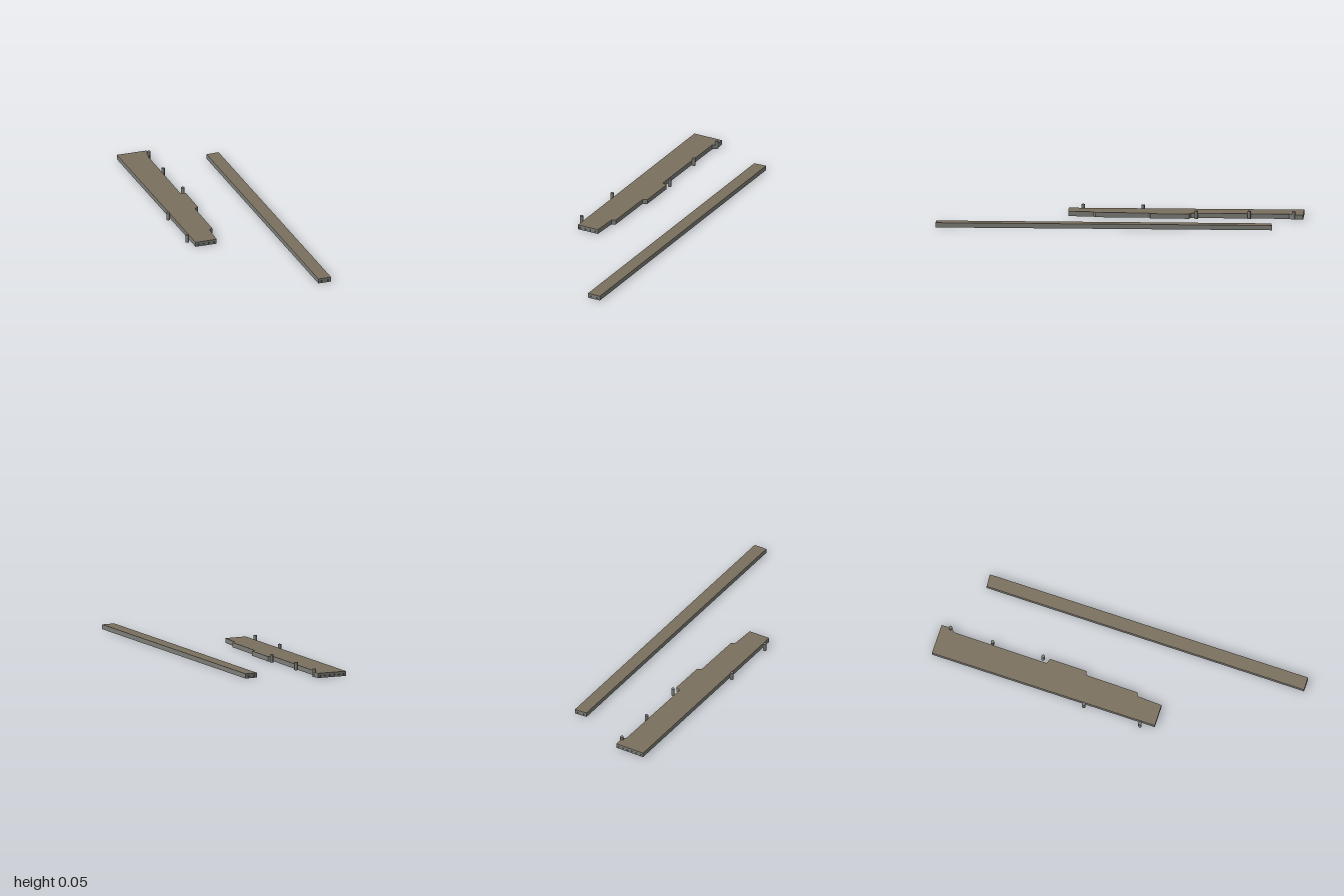
import * as THREE from 'three';

const deckBrown = new THREE.MeshStandardMaterial({ color: 0x7b705e });
const wallGrey = new THREE.MeshStandardMaterial({ color: 0x7c7c78 });
const openingDark = new THREE.MeshStandardMaterial({ color: 0x3c3c3a });
deckBrown.name = 'deckBrown';
wallGrey.name = 'wallGrey';
openingDark.name = 'openingDark';

const HEIGHT = 0.03, SLAB = 0.005, WALL = 0.006;

// Outlines as [x, z], clockwise seen from above
const wideOutline = [
  [-0.71, -0.925], [-0.53, -1], [-0.502, -0.94], [-0.515, -0.91], [-0.29, -0.337], [-0.255, -0.34],
  [-0.167, -0.116], [-0.187, -0.095], [-0.065, 0.217], [-0.082, 0.238], [-0.03, 0.388], [-0.16, 0.444],
];
const narrowOutline = [[-0.15, -0.957], [-0.077, -0.994], [0.71, 0.96], [0.632, 0.993]];

// Post positions as [x, z]
const posts = [[-0.51, -0.943], [-0.411, -0.682], [-0.275, -0.38], [-0.348, 0.02], [-0.215, 0.37]];

// Hollow platform: thin deck on perimeter walls, open underneath
function platform(name, outline, endEdges) {
  const group = new THREE.Group();
  group.name = name;
  const shape = new THREE.Shape(outline.map(([x, z]) => new THREE.Vector2(x, -z)));
  const deckGeometry = new THREE.ExtrudeGeometry(shape, { depth: SLAB, bevelEnabled: false });
  deckGeometry.rotateX(-Math.PI / 2).translate(0, HEIGHT - SLAB, 0);
  const deck = new THREE.Mesh(deckGeometry, [deckBrown, wallGrey]);
  deck.name = 'deck';
  group.add(deck);

  outline.forEach(([x0, z0], i) => {
    const [x1, z1] = outline[(i + 1) % outline.length];
    const length = Math.hypot(x1 - x0, z1 - z0);
    const side = new THREE.Group();
    side.name = 'side';
    side.position.set((x0 + x1) / 2, 0, (z0 + z1) / 2);
    side.rotation.y = -Math.atan2(z1 - z0, x1 - x0);
    const wall = new THREE.Mesh(new THREE.BoxGeometry(length, HEIGHT - SLAB, WALL), wallGrey);
    wall.name = 'wall';
    wall.position.set(0, (HEIGHT - SLAB) / 2, WALL / 2);
    side.add(wall);

    // Row of small round openings on the short ends
    if (endEdges.includes(i)) {
      const count = Math.round(length / 0.035);
      for (let k = 0; k < count; k++) {
        const opening = new THREE.Mesh(new THREE.CircleGeometry(0.007, 12), openingDark);
        opening.name = 'endOpening';
        opening.rotation.y = Math.PI;
        opening.position.set(((k + 0.5) / count - 0.5) * length, 0.013, -0.001);
        side.add(opening);
      }
    }
    group.add(side);
  });
  return group;
}

export function createModel() {
  const model = new THREE.Group();
  model.name = 'platforms';
  model.add(platform('widePlatform', wideOutline, [0, 10]));
  model.add(platform('narrowPlatform', narrowOutline, [0, 2]));

  // Round posts along the wide platform
  const postGeometry = new THREE.CylinderGeometry(0.011, 0.011, 0.05, 16);
  for (const [x, z] of posts) {
    const post = new THREE.Mesh(postGeometry, wallGrey);
    post.name = 'post';
    post.position.set(x, 0.025, z);
    model.add(post);
  }
  return model;
}
